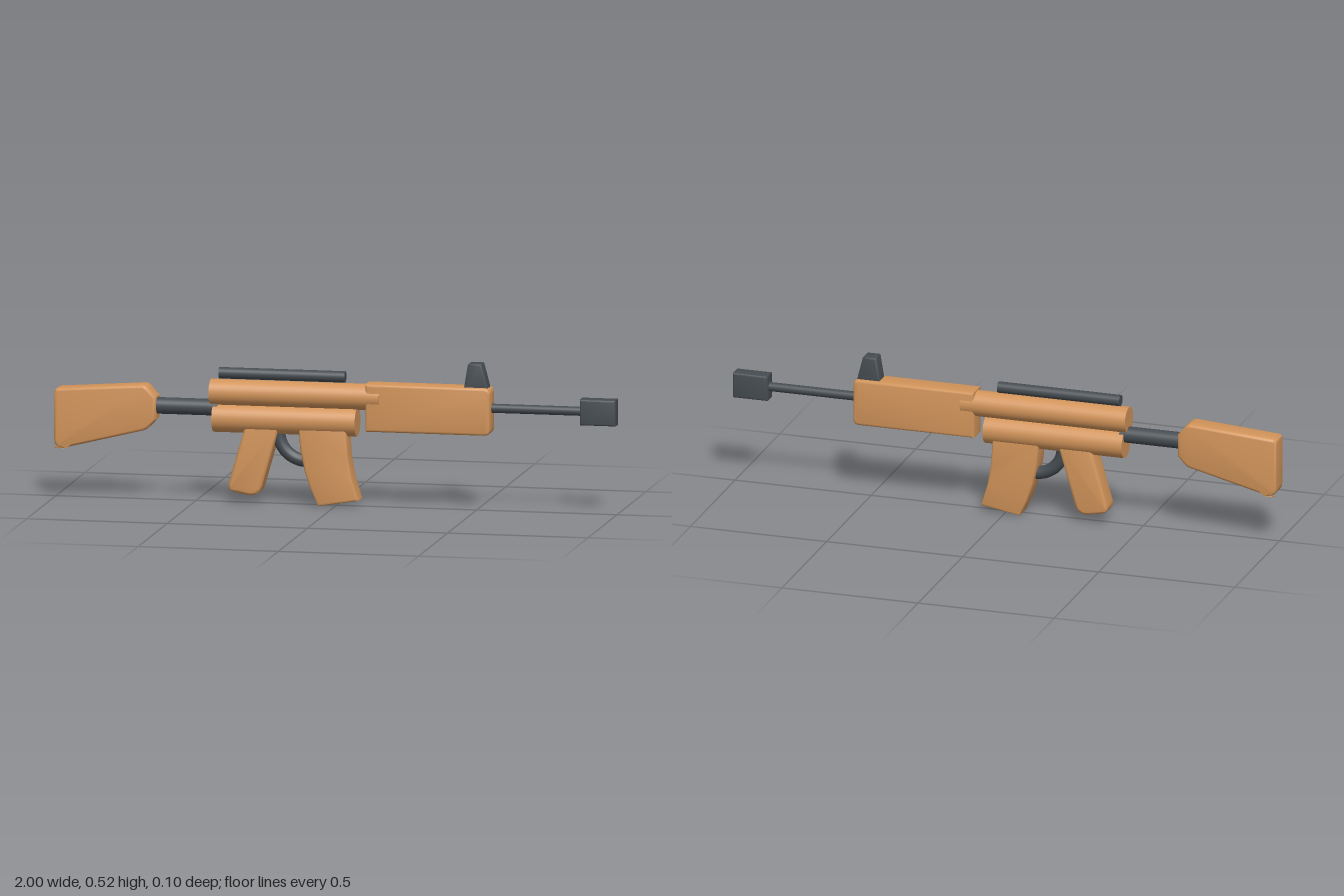
import * as THREE from 'three';
import { toCreasedNormals } from 'three/addons/utils/BufferGeometryUtils.js';

export function createModel() {
  const model = new THREE.Group();
  const tan = new THREE.MeshStandardMaterial({ color: 0xd2945a });
  tan.name = 'tan wood';
  const dark = new THREE.MeshStandardMaterial({ color: 0x464c51 });
  dark.name = 'dark metal';

  const add = (name, geometry, material) => {
    const mesh = new THREE.Mesh(geometry, material);
    mesh.name = name;
    model.add(mesh);
    return mesh;
  };

  // Side profile with softly rounded long edges; a third value rounds that corner
  const plate = (name, points, half, bevel, material) => {
    const shape = new THREE.Shape();
    points.forEach(([x, y, r = 0], i) => {
      const p = new THREE.Vector2(x, y);
      const prev = new THREE.Vector2(...points.at(i - 1));
      const next = new THREE.Vector2(...points[(i + 1) % points.length]);
      const a = p.clone().add(prev.sub(p).setLength(r));
      const b = p.clone().add(next.sub(p).setLength(r));
      if (i === 0) shape.moveTo(a.x, a.y); else shape.lineTo(a.x, a.y);
      if (r > 0) shape.quadraticCurveTo(x, y, b.x, b.y);
    });
    shape.closePath();
    const geometry = new THREE.ExtrudeGeometry(shape, {
      depth: 2 * (half - bevel), bevelThickness: bevel, bevelSize: bevel,
      bevelOffset: -bevel, bevelSegments: 3, curveSegments: 5,
    });
    geometry.translate(0, 0, bevel - half);
    return add(name, toCreasedNormals(geometry, 0.7), material);
  };

  // Round bar along x
  const bar = (name, x0, x1, y, r, material) => {
    const geometry = new THREE.CylinderGeometry(r, r, x1 - x0, 32);
    geometry.rotateZ(-Math.PI / 2);
    geometry.translate((x0 + x1) / 2, y, 0);
    return add(name, geometry, material);
  };

  // Shoulder stock and its tube
  plate('stock', [[-1, 0.177, 0.03], [-0.965, 0.177, 0.02], [-0.672, 0.25, 0.012], [-0.637, 0.287],
    [-0.637, 0.366], [-0.674, 0.409, 0.015], [-1, 0.386, 0.015]], 0.041, 0.01, tan);
  bar('stockTube', -0.66, -0.42, 0.333, 0.029, dark);

  // Stacked receiver cylinders and top rail
  bar('upperReceiver', -0.447, 0.16, 0.388, 0.046, tan);
  bar('lowerReceiver', -0.436, 0.075, 0.298, 0.051, tan);
  bar('topRail', -0.417, 0.032, 0.456, 0.02, dark);

  // Handguard with rounded front corners
  plate('handguard', [[0.11, 0.27], [0.555, 0.27, 0.022], [0.555, 0.438, 0.022], [0.11, 0.438]],
    0.042, 0.01, tan);

  // Front sight, barrel and muzzle block
  plate('frontSight', [[0.457, 0.42], [0.548, 0.42], [0.522, 0.521, 0.005], [0.474, 0.521, 0.005]],
    0.028, 0.005, dark);
  bar('barrel', 0.54, 0.9, 0.363, 0.016, dark);
  plate('muzzle', [[0.872, 0.317], [1, 0.317], [1, 0.408], [0.872, 0.408]], 0.028, 0.006, dark);

  // Pistol grip
  plate('grip', [[-0.385, 0.045, 0.03], [-0.27, 0.025, 0.04], [-0.197, 0.28], [-0.318, 0.28]],
    0.04, 0.01, tan);

  // Curved magazine
  plate('magazine', [[-0.058, 0.001], [0.085, 0.025], [0.061, 0.105], [0.048, 0.18], [0.042, 0.28],
    [-0.128, 0.28], [-0.122, 0.2], [-0.106, 0.122], [-0.085, 0.06]], 0.042, 0.008, tan);

  // Trigger guard: lower half of a ring
  const guard = add('triggerGuard', new THREE.TorusGeometry(0.1, 0.023, 16, 32, Math.PI), dark);
  guard.rotation.z = Math.PI;
  guard.position.set(-0.105, 0.255, 0);

  return model;
}
